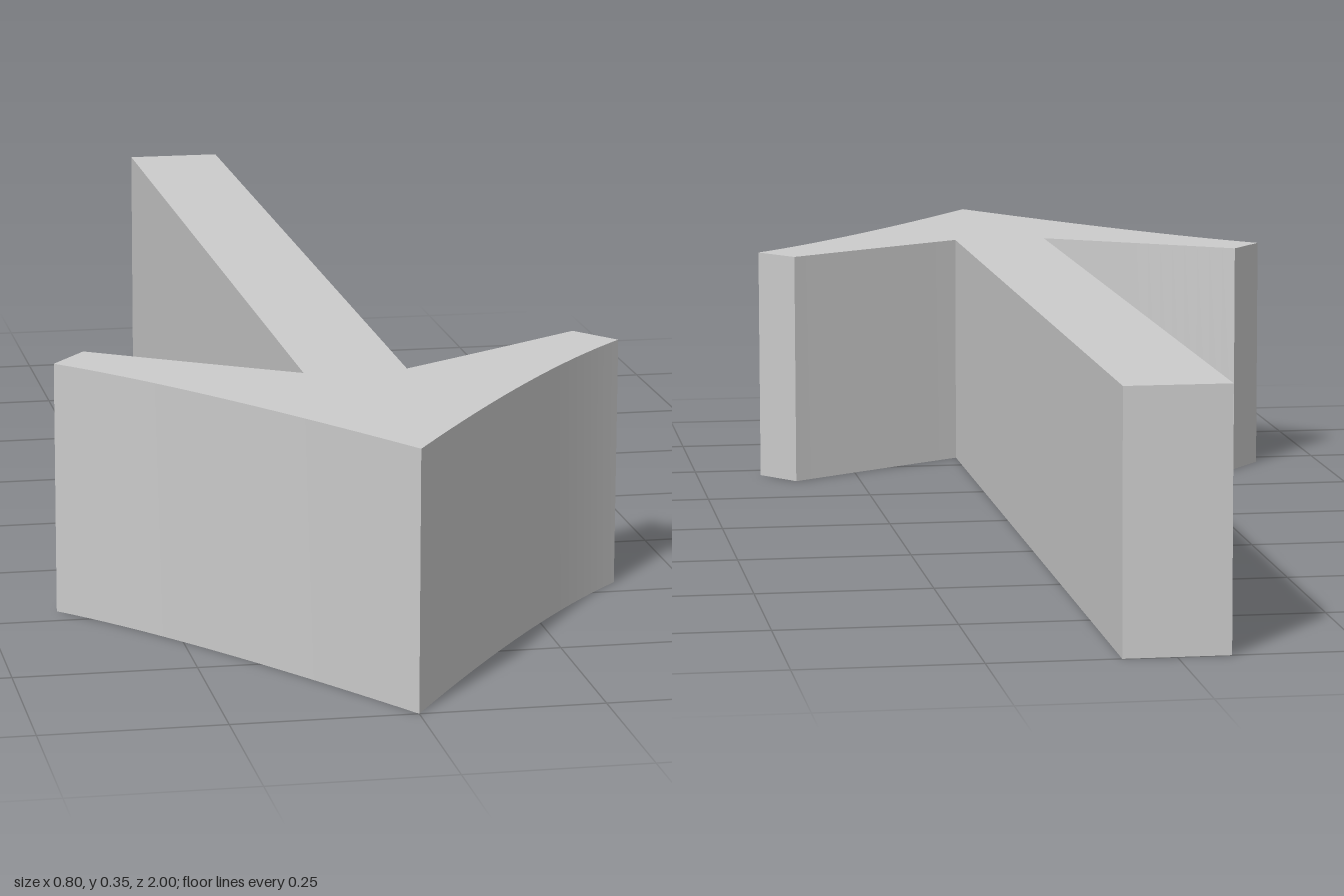
import * as THREE from 'three';
import { toCreasedNormals } from 'three/addons/utils/BufferGeometryUtils.js';

const HEIGHT = 0.355;

// Arrow outline in plan: shape x is model x, shape y is model z
function arrowOutline() {
  const s = new THREE.Shape();
  s.moveTo(0, 1); // tip
  s.quadraticCurveTo(-0.24, 0.615, -0.4, 0.455); // swept leading edge
  s.lineTo(-0.35, 0.39); // barb end
  s.quadraticCurveTo(-0.205, 0.486, -0.072, 0.57); // barb back
  s.lineTo(-0.072, -1); // shaft
  s.lineTo(0.072, -1);
  s.lineTo(0.072, 0.57);
  s.quadraticCurveTo(0.205, 0.486, 0.35, 0.39);
  s.lineTo(0.4, 0.455);
  s.quadraticCurveTo(0.24, 0.615, 0, 1);
  return s;
}

export function createModel() {
  const group = new THREE.Group();
  group.name = 'arrow';

  // Upright slab with smooth curved walls and sharp corners
  const slab = new THREE.ExtrudeGeometry(arrowOutline(), {
    depth: HEIGHT, bevelEnabled: false, curveSegments: 16,
  });
  slab.rotateX(Math.PI / 2).translate(0, HEIGHT, 0);

  const arrow = new THREE.Mesh(
    toCreasedNormals(slab, 0.4),
    new THREE.MeshStandardMaterial({ color: 0xcccccc }),
  );
  arrow.name = 'arrowBody';
  group.add(arrow);
  return group;
}
